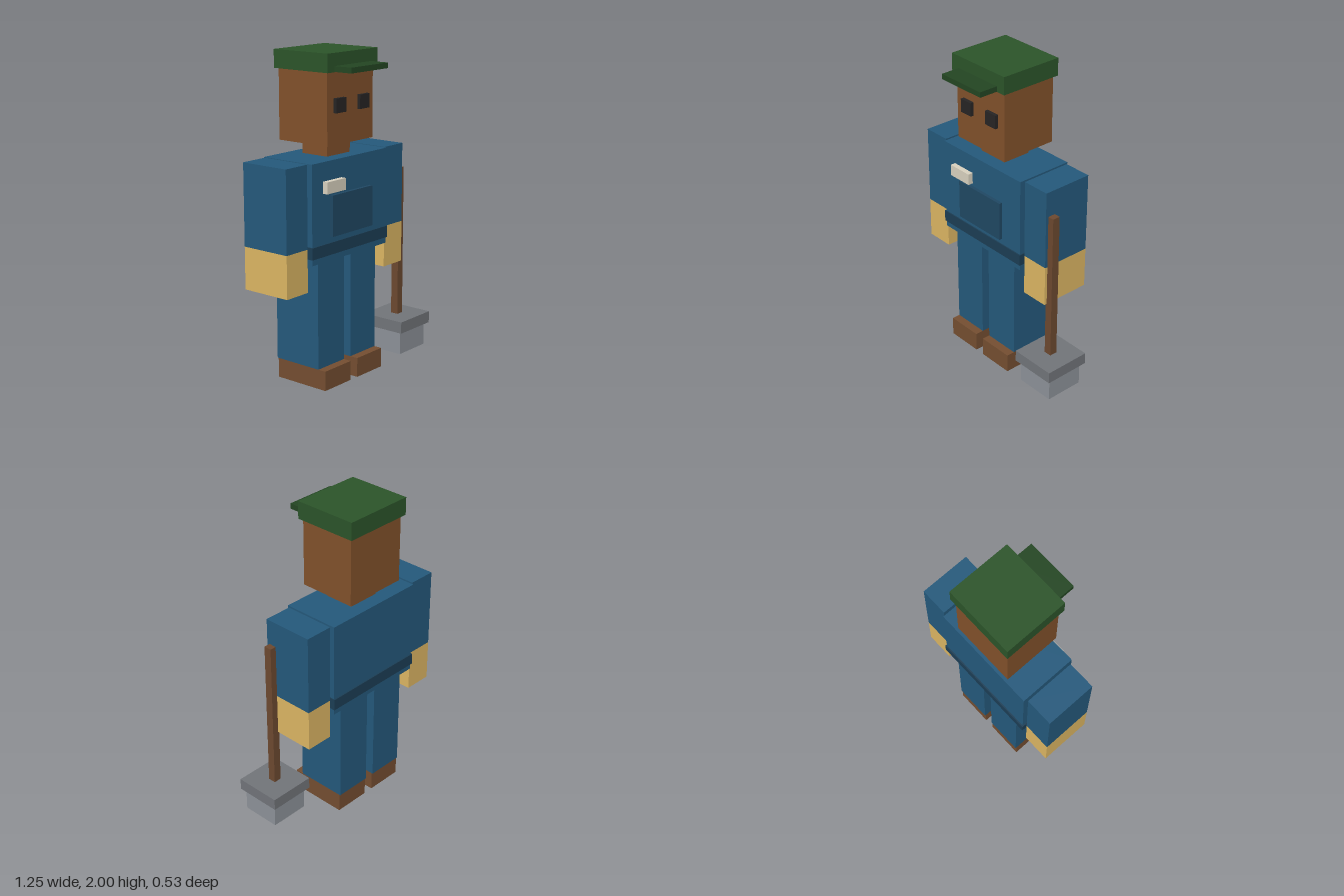
import * as THREE from 'three';

const COLORS = {
  cloth: 0x24587a, clothDark: 0x1f4762, belt: 0x1b3d54, skin: 0x80502a, glove: 0xdab462,
  boot: 0x734d30, wood: 0x6b482f, cap: 0x2b5329, brim: 0x234522, eye: 0x262424,
  tag: 0xd6cfbd, steel: 0x707378, steelLight: 0x8b9097,
};
const BODY_X = -0.085; // the figure stands beside its tool

export function createModel() {
  const model = new THREE.Group();
  const materials = {};
  for (const key in COLORS) {
    materials[key] = new THREE.MeshStandardMaterial({ color: COLORS[key], flatShading: true });
  }

  // Box given by its [min, max] range on each axis
  function box(parent, name, color, [x0, x1], [y0, y1], [z0, z1]) {
    const mesh = new THREE.Mesh(new THREE.BoxGeometry(x1 - x0, y1 - y0, z1 - z0), materials[color]);
    mesh.position.set((x0 + x1) / 2, (y0 + y1) / 2, (z0 + z1) / 2);
    mesh.name = name;
    parent.add(mesh);
  }
  const wide = (w) => [-w / 2, w / 2];

  const figure = new THREE.Group();
  figure.name = 'figure';
  figure.position.x = BODY_X;
  model.add(figure);

  // Torso, belt, chest pocket and name tag
  box(figure, 'torso', 'cloth', wide(0.69), [0.783, 1.381], [-0.247, 0.123]);
  box(figure, 'belt', 'belt', wide(0.703), [0.82, 0.892], [-0.255, 0.13]);
  box(figure, 'chestPocket', 'clothDark', wide(0.372), [0.929, 1.177], [0.11, 0.144]);
  box(figure, 'nameTag', 'tag', [-0.248, -0.082], [1.196, 1.267], [0.12, 0.156]);

  // Neck, head and cap
  box(figure, 'neck', 'skin', wide(0.21), [1.381, 1.465], [-0.157, 0.033]);
  box(figure, 'head', 'skin', wide(0.418), [1.465, 1.89], [-0.247, 0.123]);
  box(figure, 'cap', 'cap', wide(0.456), [1.89, 2], [-0.267, 0.143]);
  box(figure, 'capBrim', 'brim', wide(0.335), [1.892, 1.925], [0.1, 0.266]);

  // Eyes, arms, gloves, legs and boots on both sides
  for (const [side, s] of [['left', 1], ['right', -1]]) {
    const span = (a, b) => (s > 0 ? [a, b] : [-b, -a]);
    box(figure, side + 'Eye', 'eye', span(0.064, 0.153), [1.653, 1.738], [0.11, 0.145]);
    box(figure, side + 'Sleeve', 'cloth', span(0.36, 0.54), [0.882, 1.381], [-0.228, 0.1]);
    box(figure, side + 'Glove', 'glove', span(0.36, 0.54), [0.622, 0.882], [-0.228, 0.1]);
    box(figure, side + 'Leg', 'cloth', span(0.032, 0.27), [0.122, 0.783], [-0.228, 0.1]);
    box(figure, side + 'Boot', 'boot', span(0.032, 0.27), [0, 0.122], [-0.22, 0.154]);
  }

  // Long-handled tool with a two-step metal head
  const tool = new THREE.Group();
  tool.name = 'tool';
  tool.position.set(0.471, 0, 0.057);
  model.add(tool);
  box(tool, 'toolHandle', 'wood', wide(0.05), [0.25, 1.222], wide(0.05));
  box(tool, 'toolPlate', 'steel', wide(0.298), [0.19, 0.264], wide(0.3));
  box(tool, 'toolBlock', 'steelLight', wide(0.254), [0.042, 0.19], wide(0.25));

  return model;
}
